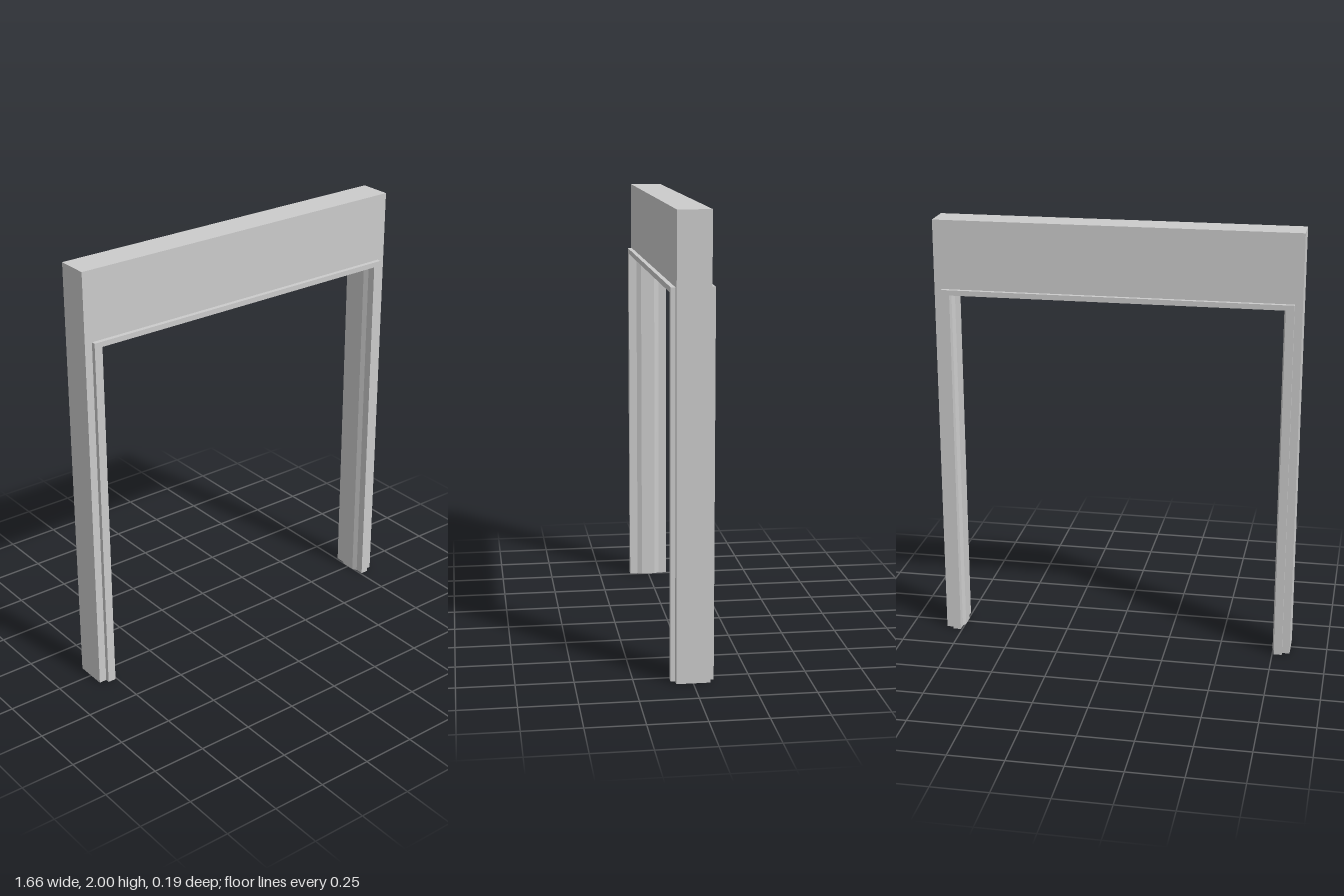
import * as THREE from 'three';

const material = new THREE.MeshStandardMaterial({ color: 0xcccccc });

function addPart(group, name, geometry) {
  const mesh = new THREE.Mesh(geometry, material);
  mesh.name = name;
  group.add(mesh);
}

// Upside-down U: outer half width and height, inner half width and height
function portal(outW, outH, inW, inH, depth) {
  const corners = [
    [-outW, 0], [-inW, 0], [-inW, inH], [inW, inH],
    [inW, 0], [outW, 0], [outW, outH], [-outW, outH],
  ];
  const shape = new THREE.Shape(corners.map(([x, y]) => new THREE.Vector2(x, y)));
  return new THREE.ExtrudeGeometry(shape, { depth, bevelEnabled: false })
    .translate(0, 0, -depth / 2);
}

// Sweep a profile of [distance from the opening, z] up, across and down, with mitred corners
function sweepAroundOpening(w, h, profile) {
  const sections = [[-1, 0], [-1, 1], [1, 1], [1, 0]].map(([side, top]) =>
    profile.map(([d, z]) => [side * (w + d), top * (h + d), z]));
  const positions = [];
  const tri = (a, b, c) => positions.push(...a, ...b, ...c);
  for (let i = 0; i < sections.length - 1; i++) {
    const s = sections[i], t = sections[i + 1];
    for (let j = 0; j < profile.length - 1; j++) {
      tri(s[j], t[j], s[j + 1]);
      tri(s[j + 1], t[j], t[j + 1]);
    }
  }
  // Feet of the two legs
  const [first, last] = [sections[0], sections[3]];
  for (let j = 1; j < profile.length - 1; j++) {
    tri(first[0], first[j], first[j + 1]);
    tri(last[0], last[j + 1], last[j]);
  }
  const geometry = new THREE.BufferGeometry();
  geometry.setAttribute('position', new THREE.Float32BufferAttribute(positions, 3));
  geometry.computeVertexNormals();
  return geometry;
}

export function createModel() {
  const group = new THREE.Group();
  group.name = 'doorFrame';

  // Wall surround with the deep header
  addPart(group, 'wallSurround', portal(0.83, 2, 0.795, 1.684, 0.146));

  // Casing lining the opening, standing proud on both faces
  addPart(group, 'casing', portal(0.795, 1.684, 0.757, 1.66, 0.186));

  // Raised stop with sloping sides in the middle of the jamb
  addPart(group, 'doorStop', sweepAroundOpening(0.747, 1.65, [
    [0.01, -0.055], [0, -0.033], [0, 0.033], [0.01, 0.055],
  ]));

  return group;
}
